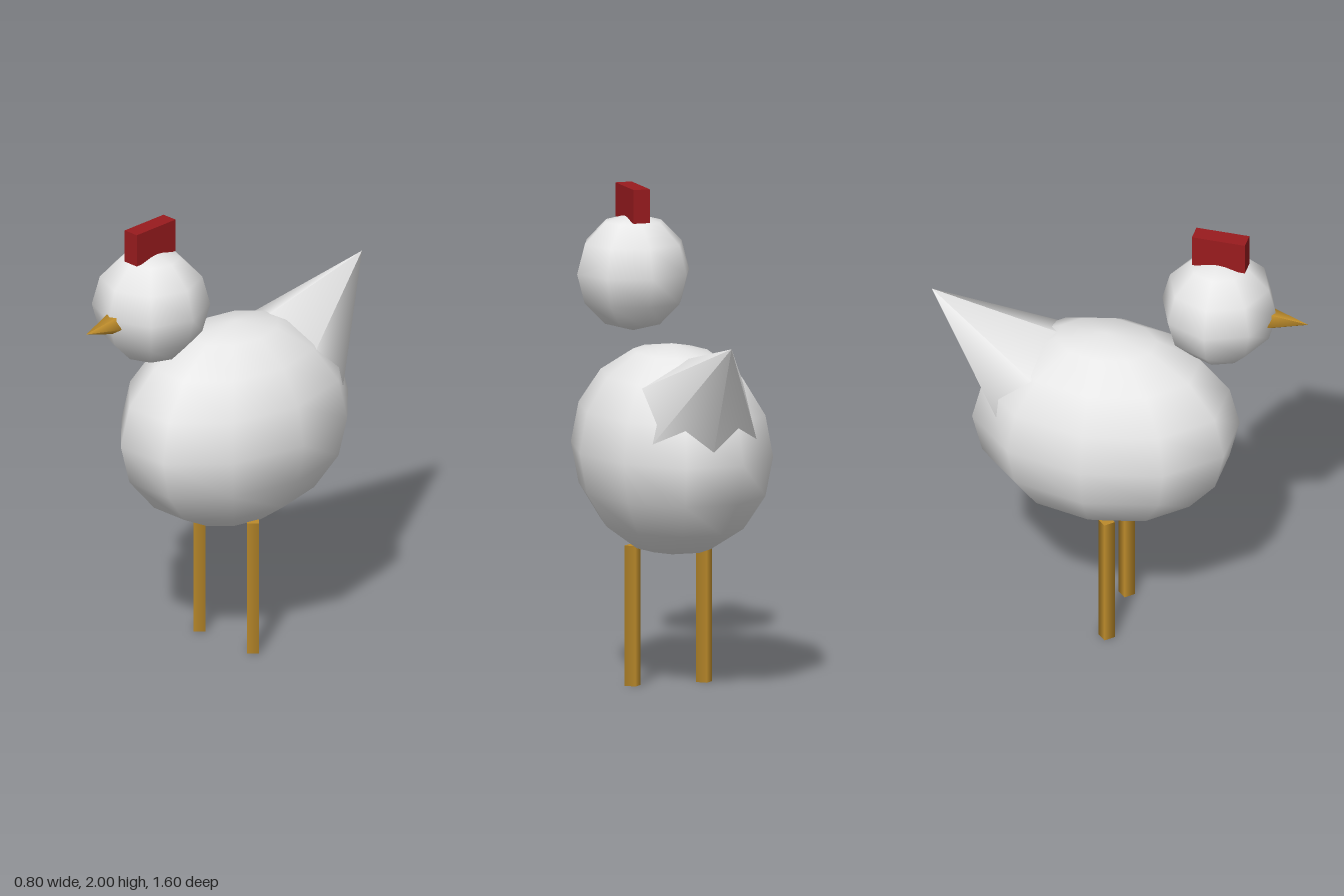
import * as THREE from 'three';

const mat = (name, color) => {
  const m = new THREE.MeshStandardMaterial({ color });
  m.name = name;
  return m;
};

export function createModel() {
  const group = new THREE.Group();
  const white = mat('white feathers', 0xf5f5f5);
  const gold = mat('golden beak and legs', 0xbc8b2b);
  const red = mat('red comb', 0x991b1e);

  const add = (name, geometry, material, x, y, z) => {
    const mesh = new THREE.Mesh(geometry, material);
    mesh.name = name;
    mesh.position.set(x, y, z);
    group.add(mesh);
    return mesh;
  };

  // Egg-shaped body, a unit sphere stretched front to back
  const body = add('body', new THREE.SphereGeometry(1, 10, 8), white, 0, 0.98, -0.06);
  body.scale.set(0.4, 0.438, 0.5625);

  // Head hovering just above the body
  add('head', new THREE.SphereGeometry(0.243, 8, 6), white, 0, 1.645, 0.423);

  // Comb resting on the top of the head
  add('comb', new THREE.BoxGeometry(0.07, 0.14, 0.225), red, 0, 1.93, 0.428);

  // Five-sided beak pointing forward
  const beakLength = 0.16;
  const beak = add('beak', new THREE.ConeGeometry(0.048, beakLength, 5), gold, 0, 1.625, 0.8 - beakLength / 2);
  beak.rotation.x = Math.PI / 2;

  // Tail cone, placed by its tip and leaning backwards
  const tailLength = 0.56;
  const tailGeometry = new THREE.ConeGeometry(0.49 * tailLength, tailLength, 6);
  tailGeometry.translate(0, -tailLength / 2, 0);
  const tail = add('tail', tailGeometry, white, 0, 1.5, -0.8);
  tail.rotation.x = -0.9;

  // Four-sided legs with a corner to the front
  for (const [name, side] of [['leftLeg', 1], ['rightLeg', -1]]) {
    add(name, new THREE.CylinderGeometry(0.035, 0.035, 0.582, 4), gold, side * 0.155, 0.291, -0.014);
  }

  return group;
}
